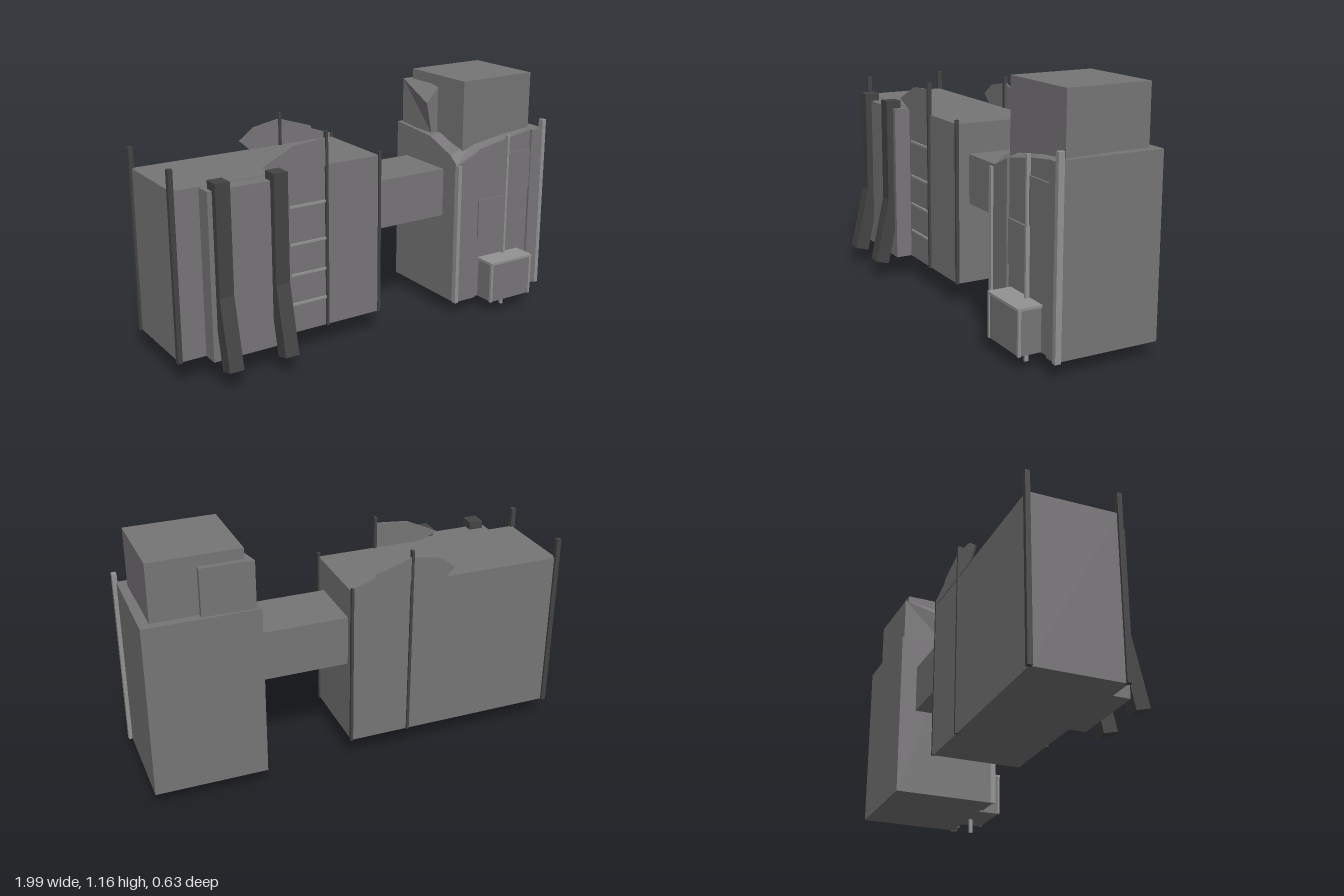
import * as THREE from 'three';

const mat = (color) => new THREE.MeshStandardMaterial({ color, flatShading: true, side: THREE.DoubleSide });

export function createModel() {
  const model = new THREE.Group();
  const wall = mat(0x777577), dark = mat(0x444444), light = mat(0x929292);

  const add = (name, geo, m = wall) => {
    const mesh = new THREE.Mesh(geo, m);
    mesh.name = name;
    model.add(mesh);
    return mesh;
  };
  // Box given by its min and max on each axis
  const box = (name, x0, x1, y0, y1, z0, z1, m) => {
    const mesh = add(name, new THREE.BoxGeometry(x1 - x0, y1 - y0, z1 - z0), m);
    mesh.position.set((x0 + x1) / 2, (y0 + y1) / 2, (z0 + z1) / 2);
    return mesh;
  };
  const extrude = (points, depth) => new THREE.ExtrudeGeometry(
    new THREE.Shape(points.map(([a, b]) => new THREE.Vector2(a, b))), { depth, bevelEnabled: false });

  // Long block with its raised front bay
  box('longBlock', -0.985, 0.04, 0.11, 0.875, -0.283, 0.134);
  box('frontBay', -0.86, -0.475, 0.11, 0.873, 0.13, 0.213);
  box('bridge', 0.035, 0.465, 0.495, 0.73, -0.233, 0.07);

  // Posts on both long sides
  for (const z of [0.134, -0.283]) {
    box('endPost', -0.997, -0.975, 0.11, 0.97, z - 0.011, z + 0.011, dark);
    box('middlePost', -0.251, -0.239, 0.11, 1.03, z - 0.009, z + 0.012, dark);
    box('innerPost', 0.034, 0.046, 0.11, 0.895, z - 0.008, z + 0.008, dark);
  }

  // Torn sheets standing above the roof edges
  add('frontSheet', extrude([[-0.47, 0.87], [-0.57, 0.91], [-0.41, 0.985], [-0.245, 1.0], [-0.245, 0.87]], 0.008))
    .position.z = 0.132;
  add('backSheet', extrude([[-0.4, 0.87], [-0.455, 0.92], [-0.38, 0.975], [-0.245, 1.0], [-0.075, 0.945],
    [-0.07, 0.93], [0.04, 0.893], [0.04, 0.87]], 0.008)).position.z = -0.288;

  // Ladder rungs
  for (const y of [0.25, 0.39, 0.535, 0.71]) box('rung', -0.45, -0.25, y - 0.005, y + 0.005, 0.13, 0.143, light);

  // Bent buttresses: side profile in (z, y)
  const profile = [[0.17, 0.91], [0.245, 0.91], [0.245, 0.41], [0.317, 0.095], [0.25, 0.077], [0.18, 0.4], [0.17, 0.45]];
  for (const x of [-0.77, -0.5]) {
    const buttress = add('buttress', extrude(profile, 0.068).rotateY(-Math.PI / 2), dark);
    buttress.position.x = x;
  }

  // Tower: box whose roof drops toward the front left corner
  const xs = [0.46, 0.59, 0.77, 0.98], zs = [-0.315, -0.04, 0.12, 0.172];
  const roof = [
    [0.89, 0.89, 0.89, 0.89],
    [0.87, 0.89, 0.89, 0.89],
    [0.81, 0.85, 0.875, 0.89],
    [0.77, 0.828, 0.863, 0.89],
  ];
  const tower = new THREE.BoxGeometry(3, 1, 3, 3, 1, 3);
  const p = tower.attributes.position;
  for (let i = 0; i < p.count; i++) {
    const c = Math.round(p.getX(i) + 1.5), r = Math.round(p.getZ(i) + 1.5);
    p.setXYZ(i, xs[c], p.getY(i) > 0 ? roof[r][c] : 0.07, zs[r]);
  }
  tower.computeVertexNormals();
  add('tower', tower);

  // Tower front: raised panels, strips and posts
  add('leftFacing', extrude([[0.46, 0.07], [0.59, 0.07], [0.59, 0.828], [0.46, 0.77]], 0.014)).position.z = 0.17;
  box('rightFacing', 0.915, 0.975, 0.07, 0.885, 0.165, 0.184);
  box('lowerPanel', 0.597, 0.75, 0.375, 0.575, 0.165, 0.182);
  box('upperPanel', 0.765, 0.912, 0.585, 0.79, 0.165, 0.182);
  box('leftCornerPost', 0.455, 0.475, 0.07, 0.77, 0.168, 0.195, light);
  box('rightCornerPost', 0.975, 0.997, 0.07, 0.93, 0.165, 0.193, light);
  box('centrePipe', 0.754, 0.766, 0.0, 0.88, 0.176, 0.194, light);
  box('frontCabinet', 0.615, 0.855, 0.07, 0.268, 0.165, 0.278);
  box('cabinetLid', 0.608, 0.862, 0.264, 0.276, 0.165, 0.285, light);
  for (const x of [0.608, 0.85]) box('cabinetEdge', x, x + 0.012, 0.07, 0.27, 0.27, 0.283, light);

  // Upper room on the tower
  box('upperRoom', 0.52, 0.937, 0.79, 1.16, -0.274, 0.128).rotation.y = 0.015;

  // Panel wrapped round the back left corner of the upper room
  const wrap = extrude([[0.72, 0.3], [0.48, 0.3], [0.45, 0.06], [0.53, 0.065], [0.53, 0.265], [0.72, 0.265]], 0.23)
    .rotateX(-Math.PI / 2).translate(0, 0.88, 0);
  const w = wrap.attributes.position;
  for (let i = 0; i < w.count; i++) {
    if (w.getX(i) > 0.46) continue;
    if (w.getY(i) > 1) w.setY(i, 1.03);
    else w.setX(i, 0.48);
  }
  wrap.computeVertexNormals();
  add('wrapPanel', wrap);

  return model;
}
